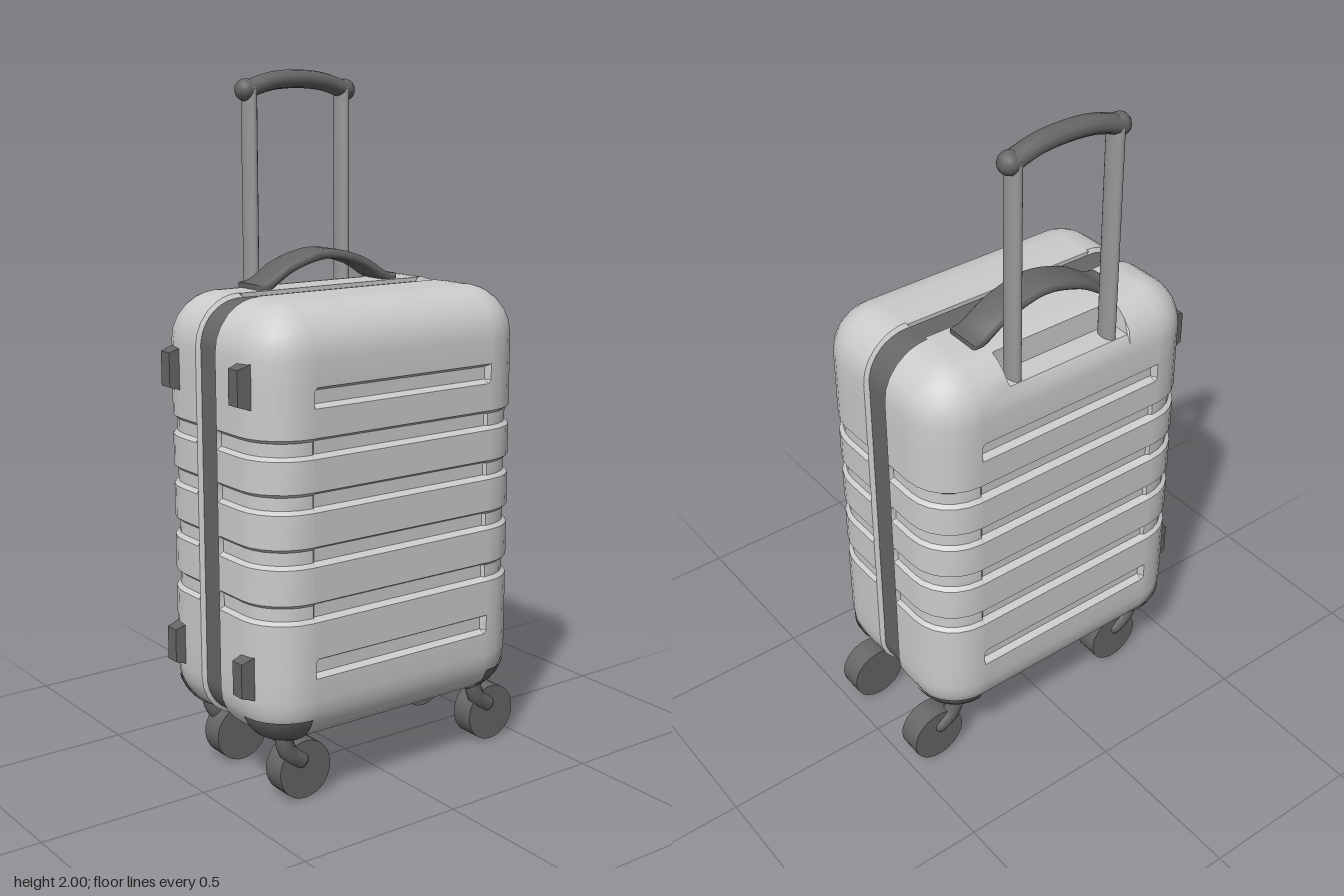
import * as THREE from 'three';
import { toCreasedNormals } from 'three/addons/utils/BufferGeometryUtils.js';

const A = 0.4525, B = 0.29, Y0 = 0.18, Y1 = 1.4, R = 0.14; // body half width, half depth, bottom, top, corner radius
const MID = (Y0 + Y1) / 2;
const GROOVES = [0.575, 0.73, 0.88, 1.025]; // wrap around the sides
const BARS = [0.415, 1.16];                 // short recesses on the flat face
const mat = (color) => new THREE.MeshStandardMaterial({ color, roughness: 0.7 });

// One half of the case: rows of a rounded plan outline stacked from bottom to top
function shellGeometry(seam, notched) {
  const rows = [];
  const arc = [0, 0.26, 0.52, 0.79, 1.05, 1.19, 1.206, 1.39, Math.PI / 2];
  const round = (t, top) => ({
    inset: R * (1 - Math.cos(t)),
    y: top ? Y1 - R + R * Math.sin(t) : Y0 + R - R * Math.sin(t),
    notch: notched && top && t < 1.2,
  });
  rows.push({ inset: R, y: Y0, flat: true, lip: true }, { inset: R, y: Y0, flat: true });
  for (const t of [...arc].reverse()) rows.push(round(t, false));
  for (const y of [...GROOVES, ...BARS].sort((p, q) => p - q)) {
    const all = GROOVES.includes(y) ? 0.012 : 0;
    for (const [dy, on] of [[-0.028, 0], [-0.018, 1], [0.018, 1], [0.028, 0]])
      rows.push({ inset: 0, y: y + dy, all: all * on, middle: 0.02 * on });
  }
  for (const t of arc) rows.push(round(t, true));
  rows.push({ inset: R, y: Y1, flat: true }, { inset: R, y: Y1, flat: true, lip: true });

  // Plan outline of one row, from the +x seam round to the -x seam
  const outline = (row) => {
    const half = [];
    const add = (x, z, lip) => {
      let y = row.y;
      if (row.notch && z > 0.19 && x < 0.2025) y = Math.min(y, 1.32);
      if (row.flat) z = seam;
      const s = lip || row.lip;
      half.push([s ? x * 0.97 : x, s ? MID + (y - MID) * 0.98 : y, z]);
    };
    const i = row.inset, d = i + (row.all || 0), m = i + (row.middle || 0);
    add(A - i, seam, true);
    add(A - i, seam + 0.01);
    add(A - d, seam + 0.016);
    for (let k = 0; k <= 6; k++) {
      const t = (k / 6) * Math.PI / 2;
      add(A - R + (R - d) * Math.cos(t), B - R + (R - d) * Math.sin(t));
    }
    add(0.305, B - d);
    for (const x of [0.297, 0.206, 0.2, 0.07]) add(x, B - m);
    return [...half, ...half.map(([x, y, z]) => [-x, y, z]).reverse()];
  };

  const loops = rows.map(outline), n = loops[0].length, index = [];
  for (let r = 0; r < loops.length - 1; r++)
    for (let k = 0; k < n - 1; k++) {
      const a = r * n + k, b = a + n;
      index.push(a, b, a + 1, b, b + 1, a + 1);
    }
  const g = new THREE.BufferGeometry();
  g.setAttribute('position', new THREE.Float32BufferAttribute(loops.flat(2), 3));
  g.setIndex(index);
  return toCreasedNormals(g, 0.6);
}

function roundedRect(w, h, r) {
  const s = new THREE.Shape();
  s.absarc(w - r, h - r, r, 0, Math.PI / 2);
  s.absarc(r - w, h - r, r, Math.PI / 2, Math.PI);
  s.absarc(r - w, r - h, r, Math.PI, Math.PI * 1.5);
  s.absarc(w - r, r - h, r, Math.PI * 1.5, Math.PI * 2);
  return s;
}

export function createModel() {
  const model = new THREE.Group();
  model.name = 'suitcase';
  const light = mat(0xcccccc), steel = mat(0x999999), dark = mat(0x666666);
  const shellMat = light.clone();
  shellMat.side = THREE.DoubleSide;
  const add = (name, geometry, material, parent = model) => {
    const mesh = new THREE.Mesh(geometry, material);
    mesh.name = name;
    parent.add(mesh);
    return mesh;
  };

  // Case halves and the band between them
  const body = new THREE.Group();
  body.name = 'body';
  body.position.x = -0.0075;
  model.add(body);
  add('frontShell', shellGeometry(0.03, false), shellMat, body);
  add('backShell', shellGeometry(0.05, true), shellMat, body).rotation.y = Math.PI;
  const band = new THREE.ExtrudeGeometry(roundedRect(A - 0.012, (Y1 - Y0) / 2 - 0.012, R - 0.012),
    { depth: 0.12, bevelEnabled: false, curveSegments: 8 });
  add('zipBand', toCreasedNormals(band, 0.6), dark, body).position.set(0, MID, -0.07);

  // Corner guards, wheel arms and wheels
  [[-1, 1], [1, 1], [1, -1], [-1, -1]].forEach(([sx, sz], q) => {
    const guard = add('cornerGuard', new THREE.SphereGeometry(R + 0.005, 8, 6, q * Math.PI / 2, Math.PI / 2,
      Math.PI * 0.61, Math.PI * 0.39), dark, body);
    guard.material = dark.clone();
    guard.material.side = THREE.DoubleSide;
    guard.position.set(sx * (A - R), Y0 + R, sz * (B - R));

    const caster = new THREE.Group();
    caster.name = 'caster';
    caster.position.set(sx * 0.345, 0, 0);
    model.add(caster);
    const path = new THREE.CatmullRomCurve3([[-0.008, 0.25, 0.19], [-0.008, 0.19, 0.19], [0.01, 0.145, 0.188], [0.048, 0.115, 0.185]]
      .map(([x, y, z]) => new THREE.Vector3(x, y, sz * z)));
    add('wheelArm', new THREE.TubeGeometry(path, 12, 0.026, 10), dark, caster);
    add('wheelArmEnd', new THREE.SphereGeometry(0.026, 10, 8), dark, caster).position.copy(path.getPoint(1));
    const wheel = add('wheel', new THREE.CylinderGeometry(0.085, 0.085, 0.072, 28), dark, caster);
    wheel.rotation.x = Math.PI / 2;
    wheel.position.set(0.06, 0.085, sz * 0.162);
  });

  // Tapered side feet
  for (const y of [0.39, 1.19]) for (const sz of [-1, 1]) {
    const g = new THREE.BoxGeometry(0.06, 0.135, 0.055);
    const p = g.attributes.position;
    for (let i = 0; i < p.count; i++)
      if (p.getX(i) < 0) p.setXYZ(i, p.getX(i), p.getY(i) * 0.72, p.getZ(i) * 0.8);
    g.computeVertexNormals();
    add('sideFoot', g, dark).position.set(-0.46, y, sz * 0.172);
  }

  // Telescopic handle: flattened poles and an arched grip
  const trolley = new THREE.Group();
  trolley.name = 'telescopicHandle';
  trolley.position.z = -0.238;
  model.add(trolley);
  for (const s of [-1, 1]) {
    const pole = add('pole', new THREE.CylinderGeometry(0.0175, 0.0175, 0.67, 16), steel, trolley);
    pole.scale.z = 1.85;
    pole.position.set(s * 0.161, 1.615, 0);
  }
  const grip = new THREE.CatmullRomCurve3([[-0.172, 1.942], [-0.09, 1.966], [0, 1.973], [0.09, 1.966], [0.172, 1.942]]
    .map(([x, y]) => new THREE.Vector3(x, y, 0)));
  add('grip', new THREE.TubeGeometry(grip, 16, 0.026, 12), dark, trolley).scale.z = 1.25;
  for (const s of [-1, 1])
    add('gripEnd', new THREE.SphereGeometry(0.032, 14, 10), dark, trolley).position.set(s * 0.172, 1.942, 0);

  // Carry handle: arched strap
  const arch = new THREE.SplineCurve([[-0.235, 1.402], [-0.2, 1.411], [-0.12, 1.458], [0, 1.486], [0.12, 1.458], [0.2, 1.411], [0.235, 1.402]]
    .map(([x, y]) => new THREE.Vector2(x, y))).getPoints(24);
  const edge = (d) => arch.map((p) => new THREE.Vector2(p.x, p.y + d));
  const strap = new THREE.ExtrudeGeometry(new THREE.Shape([...edge(-0.004), ...edge(0.004).reverse()]),
    { depth: 0.086, bevelThickness: 0.012, bevelSize: 0.01, bevelSegments: 3 });
  add('carryHandle', toCreasedNormals(strap, 0.7), dark).position.set(-0.005, 0, -0.163);

  return model;
}
